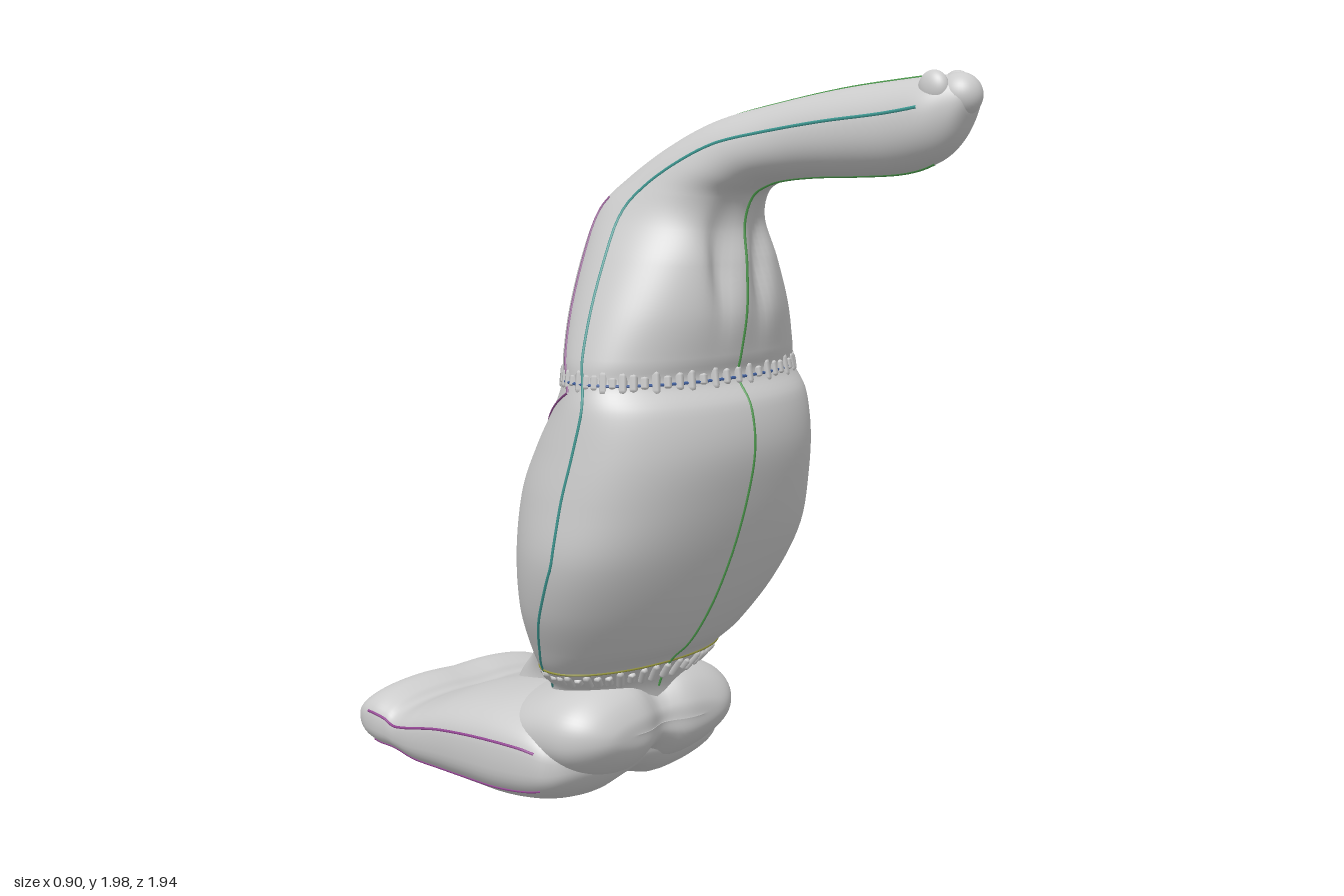
import * as THREE from 'three';
import { ParametricGeometry } from 'three/addons/geometries/ParametricGeometry.js';

const grey = new THREE.MeshStandardMaterial({ color: 0xcccccc });
const thread = (color) => new THREE.MeshStandardMaterial({ color });
const bump = (v, centre, width) => Math.exp(-(((v - centre) / width) ** 2));

// Smooth surface through cross-sections. Each row: [z, y] of one edge, [z, y] of the opposite edge, half width.
function makeLoft(rows, power = 2, shape = null) {
  const curve = (f) => new THREE.CatmullRomCurve3(rows.map(f), false, 'catmullrom', 0.5);
  const near = curve((r) => new THREE.Vector3(0, r[1], r[0]));
  const far = curve((r) => new THREE.Vector3(0, r[3], r[2]));
  const wide = curve((r, i) => new THREE.Vector3(r[4], i, 0));
  const bend = (v) => Math.sign(v) * Math.pow(Math.abs(v), 2 / power);
  return (t, angle, out = new THREE.Vector3()) => {
    t = Math.min(1, Math.max(0, t));
    const a = near.getPoint(t), b = far.getPoint(t);
    const centre = a.clone().add(b).multiplyScalar(0.5);
    out.copy(centre).addScaledVector(a.sub(b), bend(Math.cos(angle)) / 2);
    out.x = wide.getPoint(t).x * bend(Math.sin(angle));
    if (shape) shape(out, centre);
    return out;
  };
}

function surfaceMesh(name, loft, around, along) {
  const geo = new ParametricGeometry((u, v, p) => loft(v, u * Math.PI * 2, p), around, along);
  const mesh = new THREE.Mesh(geo, grey);
  mesh.name = name;
  return mesh;
}

// A thin sewn line following [t, angle] stations on a surface
function seam(name, loft, stations, color) {
  const path = new THREE.CatmullRomCurve3(stations.map(([t, a]) => loft(t, a)));
  const mesh = new THREE.Mesh(new THREE.TubeGeometry(path, 100, 0.004, 5), thread(color));
  mesh.name = name;
  return mesh;
}

// Evenly filled stations through a few [t, angle] corners
function route(...corners) {
  const n = 16;
  const stations = [corners[0]];
  for (let k = 1; k < corners.length; k++) {
    const [t0, a0] = corners[k - 1], [t1, a1] = corners[k];
    for (let i = 1; i <= n; i++) stations.push([t0 + ((t1 - t0) * i) / n, a0 + ((a1 - a0) * i) / n]);
  }
  return stations;
}

function ellipsoid(name, x, y, z, rx, ry, rz) {
  const mesh = new THREE.Mesh(new THREE.SphereGeometry(1, 36, 24), grey);
  mesh.scale.set(rx, ry, rz);
  mesh.position.set(x, y, z);
  mesh.name = name;
  return mesh;
}

// Ring of small puckered folds sunk into the body
function gathers(name, loft, t, count, length) {
  const group = new THREE.Group();
  group.name = name;
  const geo = new THREE.CapsuleGeometry(0.012, length, 3, 6);
  const up = new THREE.Vector3(0, 1, 0);
  for (let i = 0; i < count; i++) {
    const a = (i / count) * Math.PI * 2;
    const fold = new THREE.Mesh(geo, grey);
    fold.position.copy(loft(t, a));
    fold.position.x *= 0.985;
    const dir = loft(t + 0.01, a).sub(loft(t - 0.01, a)).normalize();
    fold.quaternion.setFromUnitVectors(up, dir);
    fold.scale.y = 0.8 + 0.3 * Math.sin(i * 2.4);
    group.add(fold);
  }
  return group;
}

export function createModel() {
  const model = new THREE.Group();

  // Body, bending forward into the long snout
  const bodyRows = [
    [-0.05, 0.24, -0.36, 0.24, 0.22],
    [-0.04, 0.35, -0.33, 0.36, 0.23],
    [0.005, 0.43, -0.31, 0.43, 0.305],
    [0.08, 0.50, -0.335, 0.50, 0.35],
    [0.16, 0.62, -0.355, 0.62, 0.41],
    [0.23, 0.77, -0.36, 0.77, 0.445],
    [0.28, 0.92, -0.345, 0.92, 0.435],
    [0.305, 1.05, -0.28, 1.05, 0.415],
    [0.29, 1.16, -0.20, 1.16, 0.395],
    [0.245, 1.23, -0.165, 1.23, 0.375],
    [0.255, 1.29, -0.175, 1.29, 0.365],
    [0.275, 1.40, -0.195, 1.40, 0.325],
    [0.275, 1.52, -0.195, 1.54, 0.265],
    [0.265, 1.62, -0.175, 1.66, 0.205],
    [0.29, 1.69, -0.09, 1.73, 0.17],
    [0.34, 1.72, 0.05, 1.815, 0.145],
    [0.40, 1.735, 0.20, 1.88, 0.125],
    [0.50, 1.745, 0.38, 1.92, 0.11],
    [0.62, 1.75, 0.58, 1.955, 0.105],
    [0.76, 1.76, 0.75, 1.975, 0.098],
    [0.85, 1.785, 0.86, 1.985, 0.088],
    [0.91, 1.83, 0.92, 1.985, 0.06],
    [0.945, 1.89, 0.955, 1.965, 0.035],
    [0.955, 1.925, 0.957, 1.935, 0.005],
  ];
  // Flanks sit forward; a pinched ridge under the chin and two hollows in the upper back
  const body = makeLoft(bodyRows, 2.1, (p, centre) => {
    const x = Math.abs(p.x);
    const depth = p.z - centre.z;
    if (depth > 0) p.z -= 0.16 * depth * bump(p.y, 1.53, 0.13) * bump(x, 0.07, 0.04);
    else p.z -= 0.2 * depth * bump(p.y, 1.52, 0.14) * bump(x, 0.12, 0.04);
    p.z += 0.28 * x * x * bump(p.y, 0.8, 0.32);
  });
  model.add(surfaceMesh('bodyAndSnout', body, 96, 140));

  // Puckered fabric at the tip of the snout
  model.add(ellipsoid('snoutTip', 0, 1.94, 0.915, 0.05, 0.052, 0.055));
  for (const s of [-1, 1]) {
    model.add(ellipsoid('snoutTipFold', s * 0.045, 1.955, 0.875, 0.026, 0.042, 0.04));
  }

  // Foot: rounded slab ending in a thick roll, with a crease along the middle
  const footRows = [
    [-0.967, 0.139, -0.967, 0.141, 0.28],
    [-0.955, 0.085, -0.955, 0.195, 0.325],
    [-0.92, 0.045, -0.92, 0.23, 0.345],
    [-0.87, 0.03, -0.87, 0.24, 0.35],
    [-0.82, 0.03, -0.82, 0.225, 0.345],
    [-0.78, 0.03, -0.78, 0.205, 0.345],
    [-0.70, 0.015, -0.70, 0.235, 0.355],
    [-0.58, 0.01, -0.58, 0.28, 0.365],
    [-0.45, 0.01, -0.45, 0.31, 0.375],
    [-0.32, 0.01, -0.32, 0.325, 0.375],
    [-0.20, 0.03, -0.20, 0.31, 0.36],
    [-0.13, 0.07, -0.13, 0.26, 0.33],
    [-0.09, 0.12, -0.09, 0.21, 0.25],
    [-0.08, 0.16, -0.08, 0.165, 0.05],
  ];
  const foot = makeLoft(footRows, 2.9, (p, centre) => {
    const pinch = p.y < centre.y ? 0.3 : 0.06;
    p.y -= (p.y - centre.y) * pinch * bump(p.x, 0, 0.07);
  });
  model.add(surfaceMesh('foot', foot, 72, 80));

  // Paired bulges at the front of the foot, meeting in a shallow crease
  const bulges = makeLoft([
    [-0.38, 0.12, -0.38, 0.32, 0.28],
    [-0.27, 0.10, -0.27, 0.36, 0.325],
    [-0.17, 0.10, -0.17, 0.39, 0.335],
    [-0.09, 0.11, -0.09, 0.39, 0.325],
    [-0.03, 0.15, -0.03, 0.355, 0.285],
    [0.005, 0.20, 0.005, 0.30, 0.22],
    [0.012, 0.249, 0.012, 0.251, 0.12],
  ], 2.3, (p, centre) => {
    const crease = bump(p.x, 0, 0.06);
    p.y -= (p.y - centre.y) * 0.25 * crease;
    p.z -= 0.03 * crease;
  });
  model.add(surfaceMesh('footBulges', bulges, 72, 40));

  // Wedge joining the back of the body to the foot, narrowing downward
  const wedge = makeLoft([
    [-0.20, 0.24, -0.60, 0.22, 0.115],
    [-0.20, 0.32, -0.55, 0.31, 0.10],
    [-0.20, 0.40, -0.48, 0.38, 0.12],
    [-0.20, 0.48, -0.415, 0.47, 0.165],
    [-0.22, 0.56, -0.36, 0.56, 0.19],
    [-0.27, 0.60, -0.33, 0.60, 0.12],
  ], 2.6);
  model.add(surfaceMesh('heelWedge', wedge, 48, 24));

  // Gathered folds at waist and ankle; stations are row numbers
  const at = (row) => row / (bodyRows.length - 1);
  model.add(gathers('waistGathers', body, at(9.1), 60, 0.035));
  model.add(gathers('ankleGathers', body, at(1.6), 44, 0.045));

  // Seams
  const half = Math.PI;
  model.add(seam('frontSeam', body, route([at(1), 0], [at(8), 0], [at(14), 0], [at(20), 0]), 0x4c9a4c));
  model.add(seam('backSeam', body, route([at(3), half], [at(9), half], [at(15), half], [at(20), half]), 0x4c9a4c));
  model.add(seam('waistSeam', body, route([at(9), 0], [at(9), half], [at(9), 2 * half]), 0x4060a0));
  model.add(seam('ankleSeam', body, route([at(2), 0], [at(2), half], [at(2), 2 * half]), 0x9a9a40));
  for (const s of [-1, 1]) {
    const side = [[1, 1.85], [5, 1.5], [9, 1.5], [13, 1.65], [16, 1.8], [20, 1.85]];
    model.add(seam('sideSeam', body, route(...side.map(([r, a]) => [at(r), s * a])), 0x3f9a94));
    model.add(seam('backPanelUpperSeam', body, route([at(8.6), s * 1.75], [at(13.4), s * 2.2]), 0x8a4a8a));
    model.add(seam('backPanelLowerSeam', body, route([at(8.6), s * 1.75], [at(6.1), s * half]), 0x8a4a8a));
    model.add(seam('footSideSeam', foot, route([0.2, s * 1.75], [0.8, s * 1.75]), 0x9a4a9a));
    model.add(seam('soleSeam', foot, route([0.2, s * 1.1], [0.8, s * 1.1]), 0x9a4a9a));
  }
  return model;
}
